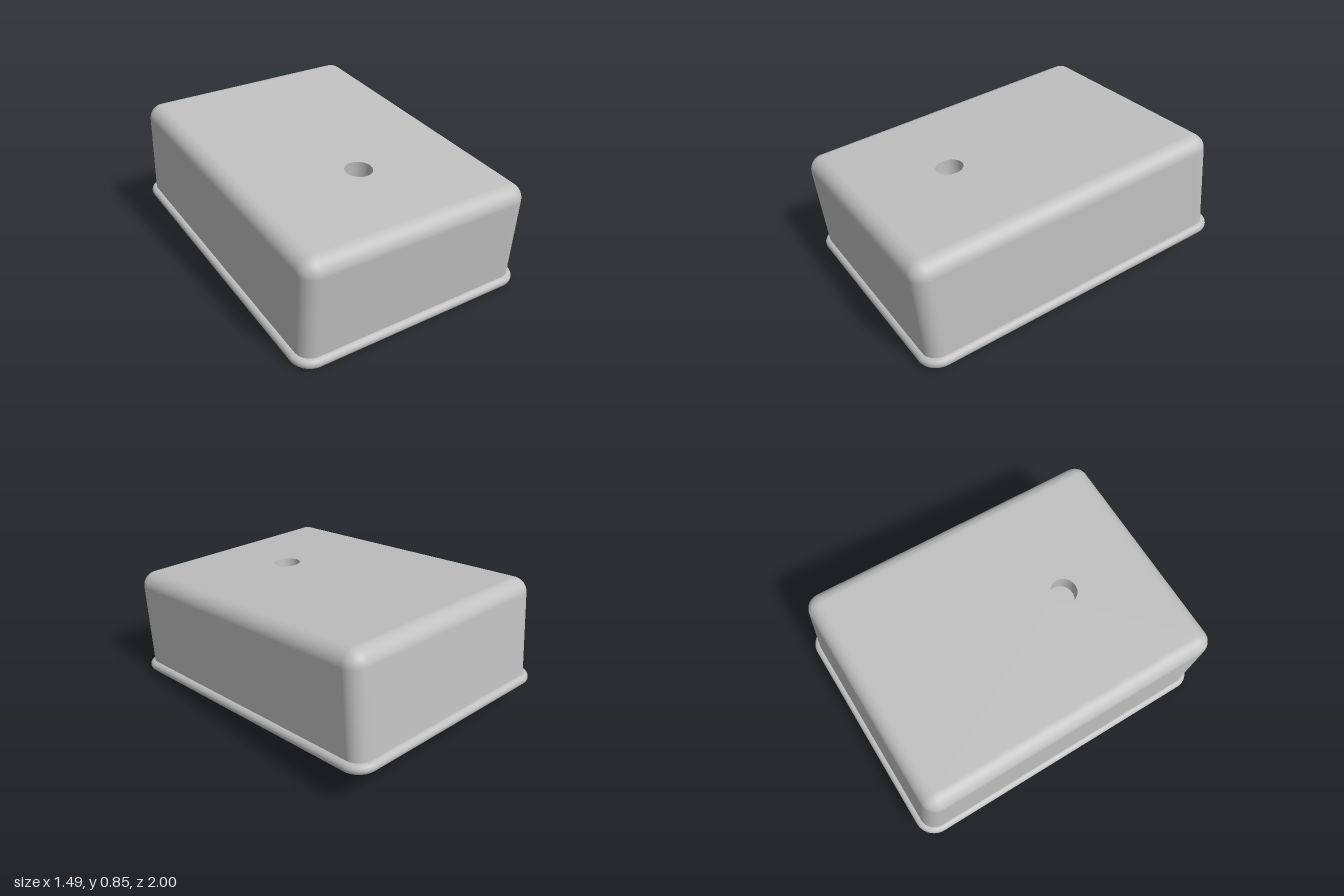
import * as THREE from 'three';

const HX = 0.713, HZ = 0.963, R = 0.09; // half width, half length, corner radius
const HEIGHT = 0.65, LIP = 0.03;
const HOLE = { z: 0.356, r: 0.08, depth: 0.1 };
const CORNER_STEPS = 12;

// Sweeps a profile of [corner radius, y, normal angle] round a rounded rectangle.
function sweep(profile) {
  const pos = [], nor = [], idx = [];
  const centres = [[1, 1], [-1, 1], [-1, -1], [1, -1]];
  const n = 4 * (CORNER_STEPS + 1);
  for (const [radius, y, phi] of profile) {
    centres.forEach(([sx, sz], q) => {
      for (let i = 0; i <= CORNER_STEPS; i++) {
        const a = (q + i / CORNER_STEPS) * Math.PI / 2;
        const c = Math.cos(a), s = Math.sin(a);
        pos.push(sx * (HX - R) + radius * c, y, sz * (HZ - R) + radius * s);
        nor.push(Math.cos(phi) * c, Math.sin(phi), Math.cos(phi) * s);
      }
    });
  }
  for (let k = 0; k < profile.length - 1; k++) {
    for (let i = 0; i < n; i++) {
      const a = k * n + i, b = k * n + (i + 1) % n;
      idx.push(a, a + n, b, b, a + n, b + n);
    }
  }
  const g = new THREE.BufferGeometry();
  g.setAttribute('position', new THREE.Float32BufferAttribute(pos, 3));
  g.setAttribute('normal', new THREE.Float32BufferAttribute(nor, 3));
  g.setIndex(idx);
  return g;
}

function rectangle(x, z) {
  return new THREE.Shape([[-x, -z], [x, -z], [x, z], [-x, z]].map(p => new THREE.Vector2(...p)));
}

export function createModel() {
  const model = new THREE.Group();
  model.name = 'tiltedBasin';
  const grey = new THREE.MeshStandardMaterial({ color: 0xc0c0c0 });
  grey.name = 'plain grey';
  const inner = grey;

  const add = (name, geometry, material = grey) => {
    const mesh = new THREE.Mesh(geometry, material);
    mesh.name = name;
    model.add(mesh);
    return mesh;
  };

  // Walls with a rounded top edge
  const walls = [[R, LIP, 0]];
  for (let i = 0; i <= 12; i++) {
    const phi = i / 12 * Math.PI / 2;
    walls.push([R * Math.cos(phi), HEIGHT - R + R * Math.sin(phi), phi]);
  }
  add('walls', sweep(walls));

  // Round lip along the bottom edge
  const lip = [];
  for (let i = 0; i <= 20; i++) {
    const phi = i / 20 * Math.PI * 2;
    lip.push([R + LIP * Math.cos(phi), LIP + LIP * Math.sin(phi), phi]);
  }
  add('lip', sweep(lip));

  // Flat top with a round hole
  const topShape = rectangle(HX - R, HZ - R);
  topShape.holes.push(new THREE.Path().absarc(0, -HOLE.z, HOLE.r, 0, Math.PI * 2, true));
  add('topPanel', new THREE.ShapeGeometry(topShape, 24).rotateX(-Math.PI / 2).translate(0, HEIGHT, 0));

  // Hole wall, turned inside out so that it faces inwards
  const wall = new THREE.CylinderGeometry(HOLE.r, HOLE.r, HOLE.depth, 48, 1, true);
  wall.index.array.reverse();
  const normals = wall.attributes.normal;
  for (let i = 0; i < normals.count; i++) normals.setXYZ(i, -normals.getX(i), 0, -normals.getZ(i));
  add('holeWall', wall, inner).position.set(0, HEIGHT - HOLE.depth / 2, HOLE.z);
  add('holeFloor', new THREE.CircleGeometry(HOLE.r, 48).rotateX(-Math.PI / 2))
    .position.set(0, HEIGHT - HOLE.depth, HOLE.z);

  // Underside, inside the lip
  const x = HX - R, z = HZ - R;
  const base = new THREE.Shape();
  base.absarc(x, z, R, 0, Math.PI / 2);
  base.absarc(-x, z, R, Math.PI / 2, Math.PI);
  base.absarc(-x, -z, R, Math.PI, Math.PI * 1.5);
  base.absarc(x, -z, R, Math.PI * 1.5, Math.PI * 2);
  add('underside', new THREE.ShapeGeometry(base).rotateX(Math.PI / 2).translate(0, LIP, 0));

  // The whole body leans forward and slightly sideways
  model.rotation.set(0.0968, 0, 0.0197);
  model.position.set(-0.002, 0.108, -0.012);
  const root = new THREE.Group();
  root.name = 'model';
  root.add(model);
  return root;
}
